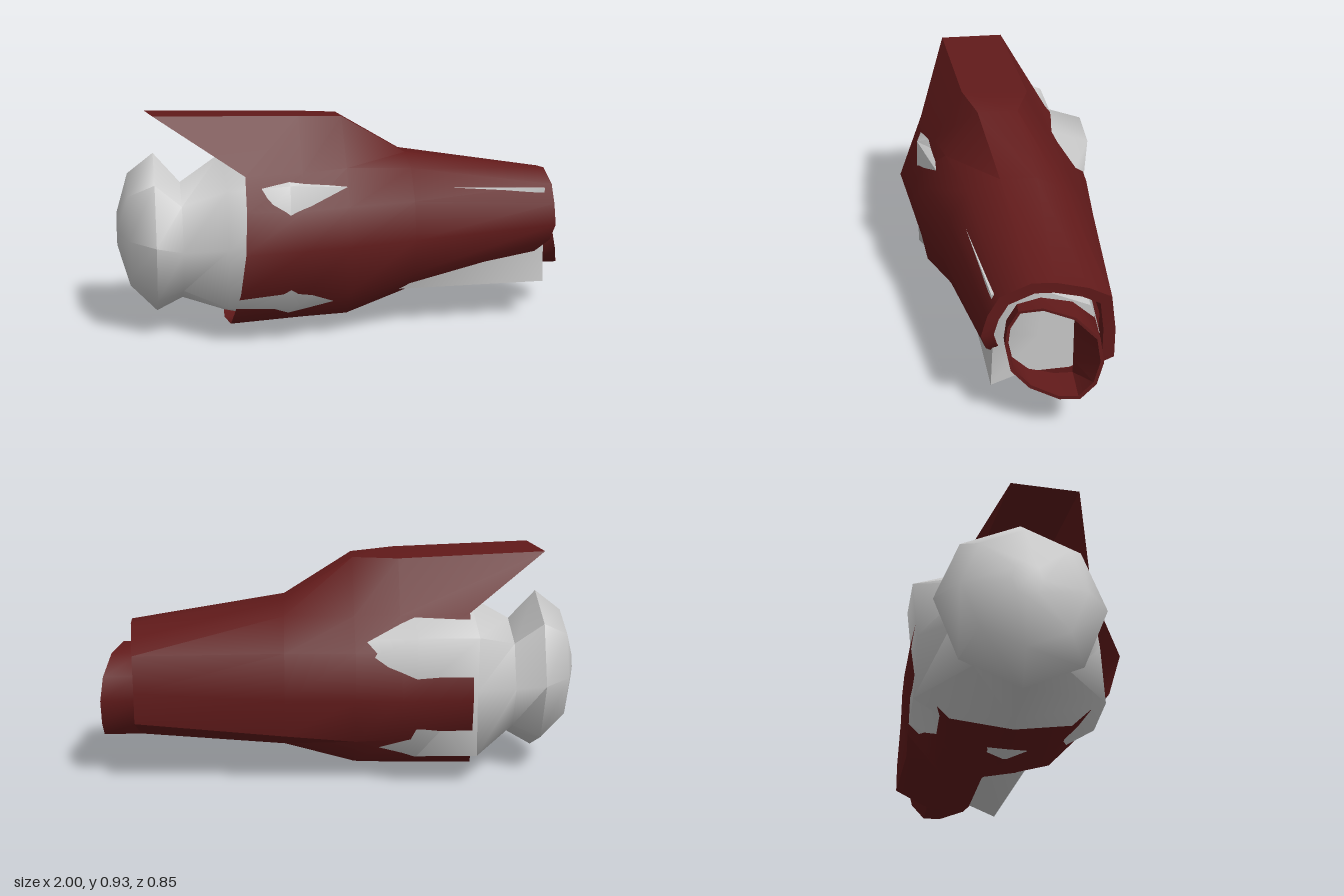
import * as THREE from 'three';
import { toCreasedNormals } from 'three/addons/utils/BufferGeometryUtils.js';

// Skin between rings of [x, y, z] points, listed anticlockwise as seen from +x.
function loft(rings, { capped = false, crease = 0.6 } = {}) {
  const n = rings[0].length;
  const points = rings.flat();
  const index = [];
  for (let i = 0; i < rings.length - 1; i++) {
    for (let j = 0; j < n; j++) {
      const k = (j + 1) % n;
      const a = i * n + j, b = i * n + k, c = a + n, d = b + n;
      index.push(a, b, c, c, b, d);
    }
  }
  const cap = (start, flip) => {
    const mid = [0, 1, 2].map(e => points.slice(start, start + n).reduce((s, p) => s + p[e], 0) / n);
    const m = points.push(mid) - 1;
    for (let j = 0; j < n; j++) {
      const a = start + j, b = start + (j + 1) % n;
      index.push(m, flip ? b : a, flip ? a : b);
    }
  };
  if (capped) {
    cap(0, true);
    cap((rings.length - 1) * n, false);
  }
  const geo = new THREE.BufferGeometry();
  geo.setAttribute('position', new THREE.Float32BufferAttribute(points.flat(), 3));
  geo.setIndex(index);
  return toCreasedNormals(geo, crease);
}

// Ring at one x from [y, z] pairs
const at = (x, pairs) => pairs.map(([y, z]) => [x, y, z]);

// Elliptical ring with eight sides, starting at the top
function oval(x, bottom, top, back, front) {
  return Array.from({ length: 8 }, (_, i) => {
    const a = i * Math.PI / 4;
    return [x, (top + bottom) / 2 + Math.cos(a) * (top - bottom) / 2,
      (front + back) / 2 + Math.sin(a) * (front - back) / 2];
  });
}

// Shrink a ring about the wrist axis and move it along x
const inset = (ring, s, dx) => ring.map(([x, y, z]) => [x + dx, 0.4 + (y - 0.4) * s, -0.11 + (z + 0.11) * s]);

export function createModel() {
  const group = new THREE.Group();
  const red = new THREE.MeshStandardMaterial({ color: 0x611a1a, side: THREE.DoubleSide });
  const grey = new THREE.MeshStandardMaterial({ color: 0xcccccc, side: THREE.DoubleSide });
  const add = (name, geo, material) => {
    const mesh = new THREE.Mesh(geo, material);
    mesh.name = name;
    group.add(mesh);
  };

  // Armour shell: the first and last points of each ring form the raised fin
  const elbowRim = [
    [-0.84, 0.937, 0.2], [-0.48, 0.7, 0.32], [-0.48, 0.56, 0.37], [-0.49, 0.4, 0.425],
    [-0.51, 0.22, 0.37], [-0.54, 0.06, 0.21], [-0.55, 0.025, -0.02], [-0.54, 0.06, -0.27],
    [-0.53, 0.2, -0.4], [-0.53, 0.37, -0.425], [-0.53, 0.55, -0.39], [-0.53, 0.7, -0.26], [-0.87, 0.93, -0.08],
  ];
  // Wrist edge, slanted and cut away at the front below
  const wristRim = [
    [0.89, 0.645, -0.04], [0.89, 0.59, 0.08], [0.89, 0.51, 0.125], [0.89, 0.42, 0.15], [0.87, 0.35, 0.13],
    [0.79, 0.28, 0.1], [0.83, 0.205, -0.02], [0.85, 0.18, -0.2], [0.855, 0.27, -0.37], [0.855, 0.4, -0.37],
    [0.86, 0.55, -0.35], [0.87, 0.6, -0.26], [0.885, 0.64, -0.13],
  ];
  const shell = [
    elbowRim,
    at(-0.24, [
      [0.922, 0.145], [0.7, 0.27], [0.55, 0.335], [0.4, 0.39], [0.21, 0.34], [0.07, 0.185], [0.015, -0.02],
      [0.06, -0.26], [0.2, -0.395], [0.37, -0.425], [0.56, -0.38], [0.69, -0.25], [0.912, -0.14],
    ]),
    at(-0.05, [
      [0.91, 0.09], [0.71, 0.23], [0.56, 0.315], [0.4, 0.35], [0.2, 0.32], [0.085, 0.21], [0.055, -0.03],
      [0.07, -0.27], [0.19, -0.39], [0.37, -0.418], [0.56, -0.385], [0.69, -0.25], [0.91, -0.08],
    ]),
    at(0.24, [
      [0.74, 0.02], [0.69, 0.15], [0.56, 0.235], [0.4, 0.265], [0.25, 0.23], [0.16, 0.12], [0.138, -0.05],
      [0.135, -0.22], [0.21, -0.37], [0.37, -0.4], [0.56, -0.37], [0.69, -0.24], [0.74, -0.13],
    ]),
    wristRim,
  ];
  add('forearmShell', loft(shell, { crease: 0.75 }), red);

  // Thick lip that turns into the wrist opening
  const lip = inset(wristRim, 0.82, 0);
  add('wristLip', loft([wristRim, lip, inset(lip, 1, -0.1)], { crease: 0.6 }), red);

  // Inner limb: flared elbow joint, waist, boxy forearm, keeled wrist
  const limb = [
    oval(-1, 0.36, 0.5, -0.1, 0.02),
    oval(-0.95, 0.18, 0.67, -0.28, 0.2),
    oval(-0.84, 0.065, 0.755, -0.37, 0.295),
    oval(-0.73, 0.125, 0.63, -0.28, 0.245),
    at(-0.55, [
      [0.74, -0.09], [0.64, 0.3], [0.4, 0.33], [0.16, 0.345],
      [0.06, -0.02], [0.13, -0.41], [0.4, -0.4], [0.63, -0.425],
    ]),
    at(-0.3, [
      [0.74, -0.09], [0.66, 0.345], [0.45, 0.35], [0.15, 0.352],
      [0.005, -0.02], [0.13, -0.405], [0.4, -0.4], [0.63, -0.425],
    ]),
    at(0.16, [
      [0.65, -0.05], [0.62, 0.207], [0.4, 0.22], [0.165, 0.16],
      [0.16, -0.05], [0.2, -0.24], [0.4, -0.32], [0.56, -0.24],
    ]),
    at(0.85, [
      [0.58, -0.1], [0.578, 0.107], [0.4, 0.1], [0.16, 0.11],
      [0.215, -0.02], [0.23, -0.24], [0.38, -0.31], [0.51, -0.27],
    ]),
  ];
  add('innerLimb', loft(limb, { capped: true, crease: 1.4 }), grey);

  // Wrist cuff: slanted sleeve with a thin rim, thicker inside at the back
  const cuff = [
    [0.555, -0.08], [0.53, 0.01], [0.46, 0.05], [0.38, 0.06], [0.28, 0.04], [0.215, -0.03],
    [0.185, -0.14], [0.185, -0.22], [0.25, -0.28], [0.35, -0.305], [0.45, -0.29], [0.53, -0.2],
  ];
  const slant = ([y, z]) => Math.min(1, 0.9 - 0.3 * Math.min(z, 0) + Math.max(0, 0.4 - y) * 0.25);
  const start = at(0.84, cuff);
  const end = cuff.map(p => [slant(p), ...p]);
  const throat = inset(start, 0.92, 0.012).map(([x, y, z]) => [x, y, Math.max(z, -0.21)]);
  add('wristCuff', loft([start, end, inset(end, 0.93, 0), throat], { crease: 0.7 }), red);

  return group;
}
